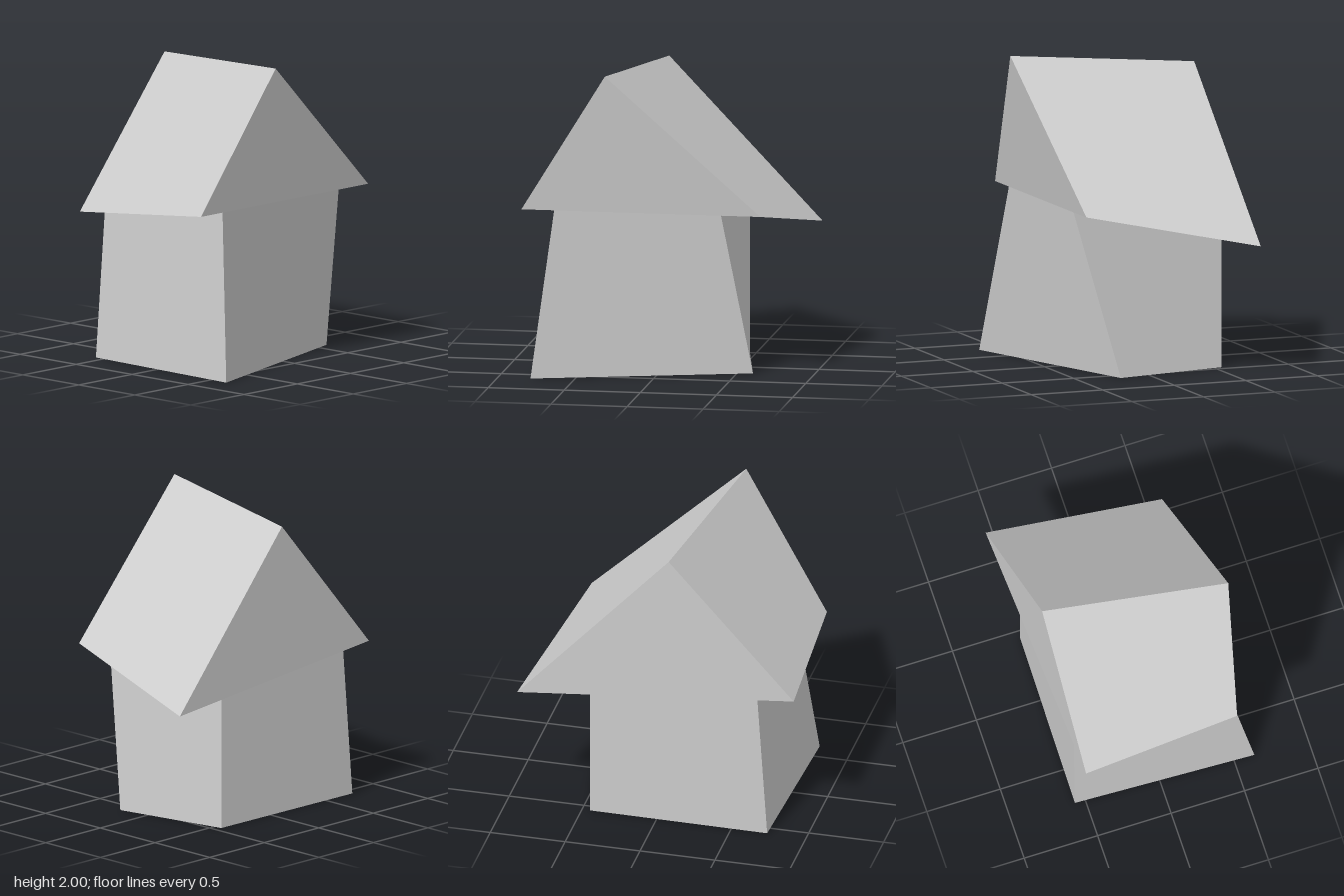
import * as THREE from 'three';

const material = new THREE.MeshStandardMaterial({ color: 0xcccccc });

// Solid from named corners; each face is a fan from its first corner, seen from
// outside, and carries one averaged normal so bent panels shade evenly
function solid(name, corners, faces) {
  const positions = [];
  const normals = [];
  for (const face of faces) {
    const p = face.split(' ').map((key) => new THREE.Vector3(...corners[key]));
    const across = p[2].clone().sub(p[0]);
    const normal = across.cross((p[3] ?? p[0]).clone().sub(p[1])).normalize();
    for (let i = 1; i < p.length - 1; i++) {
      for (const corner of [p[0], p[i], p[i + 1]]) {
        positions.push(...corner.toArray());
        normals.push(...normal.toArray());
      }
    }
  }
  const geometry = new THREE.BufferGeometry();
  geometry.setAttribute('position', new THREE.Float32BufferAttribute(positions, 3));
  geometry.setAttribute('normal', new THREE.Float32BufferAttribute(normals, 3));
  const mesh = new THREE.Mesh(geometry, material);
  mesh.name = name;
  return mesh;
}

export function createModel() {
  const group = new THREE.Group();
  group.name = 'crookedHouse';

  // Walls: a lopsided box, its upper corners tucked just inside the roof
  // Corner keys: front/back, left(+x)/right(-x), and u for upper
  const walls = {
    fl: [0.637, 0, 0.785], fr: [-0.57, 0, 0.74],
    bl: [0.212, 0, -0.603], br: [-0.556, 0, -0.448],
    flu: [0.48, 1.095, 0.655], fru: [-0.555, 0.985, 0.67],
    blu: [0.48, 1.095, -0.437], bru: [-0.556, 0.92, -0.448],
  };
  group.add(solid('walls', walls, [
    'fr br bl fl',
    'fl flu fru fr',
    'bl blu flu fl',
    'br bru blu bl',
    'fr fru bru br',
    'fru flu blu bru',
  ]));

  // Roof: a skewed gable prism with a sloping ridge and a twisted underside
  const roof = {
    fl: [0.492, 1.085, 0.87], fr: [-0.55, 0.988, 0.912],
    bl: [0.492, 1.085, -0.7], br: [-0.64, 0.858, -0.912],
    ridgeL: [0.617, 2, 0.3], ridgeR: [-0.58, 1.925, 0.085],
  };
  group.add(solid('roof', roof, [
    'fl bl ridgeL',
    'br fr ridgeR',
    'fl ridgeL ridgeR fr',
    'br ridgeR ridgeL bl',
    'bl fl fr br',
  ]));

  return group;
}
